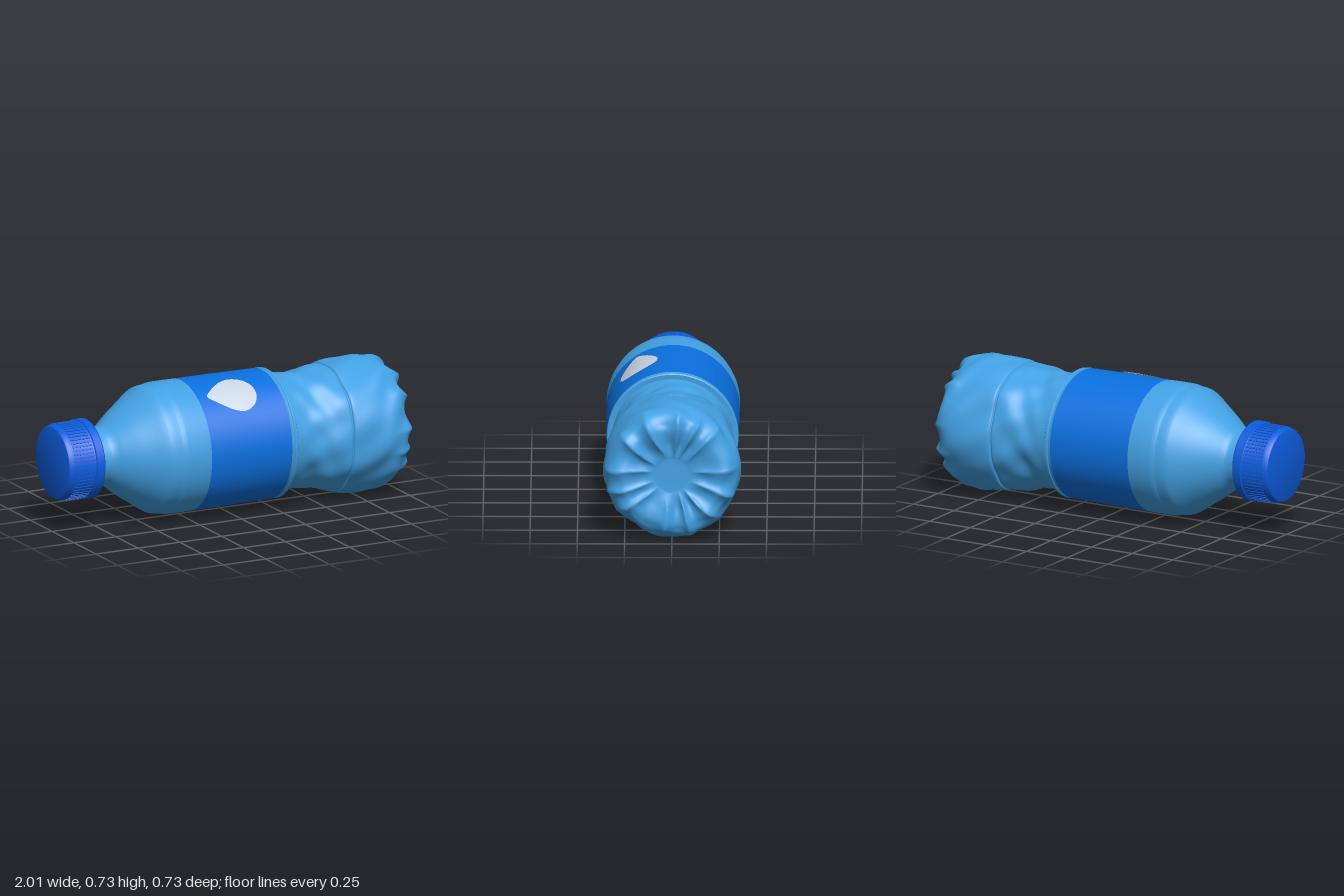
import * as THREE from 'three';
import { mergeGeometries, mergeVertices, toCreasedNormals } from 'three/addons/utils/BufferGeometryUtils.js';

const AXIS_Y = 0.383; // height of the bottle's axis, which lies along x

const mat = (name, color) => {
  const m = new THREE.MeshStandardMaterial({ color });
  m.name = name;
  return m;
};

// Surface of revolution about x from [x, radius] pairs running towards +x
function turned(profile, segments = 96, crease = 0.6) {
  const g = new THREE.LatheGeometry(profile.map(([x, r]) => new THREE.Vector2(r, x)), segments);
  g.rotateZ(-Math.PI / 2);
  return crease ? toCreasedNormals(g, crease) : g;
}

// Smooth curve through [x, radius] pairs
const smooth = (pts, n) => new THREE.SplineCurve(pts.map(p => new THREE.Vector2(...p)))
  .getPoints(n).map(p => [p.x, Math.max(p.y, 0)]);

// Crumpled lower half: pinched grip, fluted foot and recessed base
function lowerBodyGeometry() {
  const wall = smooth([[0.286, 0.318], [0.34, 0.31], [0.42, 0.307], [0.48, 0.316], [0.55, 0.334],
    [0.61, 0.342], [0.625, 0.337], [0.64, 0.35], [0.72, 0.357], [0.85, 0.357], [0.92, 0.345],
    [0.965, 0.315], [0.986, 0.275], [0.985, 0.23], [0.97, 0.17], [0.955, 0.11], [0.95, 0.08], [0.95, 0]], 130);
  let g = turned(wall, 180, 0);
  g.deleteAttribute('uv');
  g.deleteAttribute('normal');
  g = mergeVertices(g, 1e-5);
  const p = g.attributes.position;
  const step = THREE.MathUtils.smoothstep;
  for (let i = 0; i < p.count; i++) {
    const x = p.getX(i), y = p.getY(i), z = p.getZ(i);
    const r = Math.hypot(y, z), a = Math.atan2(z, y);
    // Uneven folds radiating from the middle of the base
    const warp = a + 0.1 * Math.sin(3 * a + 1) + 0.07 * Math.sin(5 * a + 9 * r);
    const fold = 1 - 2 * Math.pow(Math.abs(Math.sin(6.5 * warp + 0.5 * Math.sin(a))), 0.8);
    const foot = step(x, 0.84, 0.96);
    const ring = step(r, 0.09, 0.19) * (1 - step(r, 0.29, 0.345));
    const dx = foot * ring * 0.016 * fold * (0.8 + 0.3 * Math.sin(2 * a + 1));
    // Broad dents along the side wall
    const side = step(x, 0.3, 0.42) * step(r, 0.15, 0.3);
    const dent = 0.004 * Math.sin(7 * a + 6 * Math.sin(7 * x))
      + 0.004 * Math.sin(4 * a - 13 * x) + 0.003 * Math.sin(11 * a + 17 * x);
    const dr = side * dent + step(r, 0.2, 0.3) * foot * 0.009 * fold;
    const k = r > 1e-4 ? (r + dr) / r : 1;
    p.setXYZ(i, x + dx, y * k - 0.014 * step(x, 0.35, 0.7), z * k);
  }
  g.computeVertexNormals();
  return g;
}

// Teardrop wrapped around the label, point towards the cap
function dropGeometry() {
  const g = new THREE.RingGeometry(0, 1, 64, 10);
  const p = g.attributes.position;
  for (let i = 0; i < p.count; i++) {
    const s = Math.hypot(p.getX(i), p.getY(i));
    const t = Math.atan2(p.getY(i), p.getX(i));
    const c = Math.cos(t);
    const taper = c < 0 ? 1 - 0.62 * Math.pow(-c, 1.6) : 1;
    const u = s * c * (c < 0 ? 0.175 : 0.11);
    const v = s * Math.sin(t) * 0.117 * taper;
    const angle = 0.56 - v / 0.352;
    const radius = 0.359 - 0.003 * s * s;
    p.setXYZ(i, u, radius * Math.cos(angle), radius * Math.sin(angle));
  }
  g.computeVertexNormals();
  return g;
}

export function createModel() {
  const plastic = mat('bottle blue', 0x43a1e4);
  const labelBlue = mat('label blue', 0x0b70e0);
  const capBlue = mat('cap blue', 0x0c5cdc);
  const pale = mat('pale grey', 0xc9d5e4);
  plastic.side = pale.side = THREE.DoubleSide;

  const bottle = new THREE.Group();
  bottle.name = 'bottle';
  bottle.position.y = AXIS_Y;
  const add = (name, geometry, material, parent = bottle) => {
    const mesh = new THREE.Mesh(geometry, material);
    mesh.name = name;
    parent.add(mesh);
  };

  // Neck and sloping shoulder
  add('shoulder', turned(smooth([[-0.8, 0.152], [-0.73, 0.154], [-0.7, 0.164], [-0.66, 0.195],
    [-0.6, 0.24], [-0.53, 0.287], [-0.47, 0.328], [-0.44, 0.341], [-0.39, 0.347], [-0.37, 0.352],
    [-0.3, 0.353], [-0.23, 0.352]], 60)), plastic);

  // Label with its teardrop emblem
  add('label', turned([[-0.23, 0.352], [0, 0.351], [0.25, 0.348]]), labelBlue);
  add('drop', dropGeometry(), pale);

  // Lip below the label, then the crumpled lower half
  add('lip', turned([[0.25, 0.348], [0.258, 0.344], [0.268, 0.344], [0.272, 0.349],
    [0.284, 0.348], [0.288, 0.343], [0.286, 0.316]]), plastic);
  add('lowerBody', lowerBodyGeometry(), plastic);

  // Screw cap with flange, grip ribs and inner collar
  const cap = new THREE.Group();
  cap.name = 'cap';
  bottle.add(cap);
  add('capShell', turned([[-1, 0], [-1, 0.183], [-0.996, 0.193], [-0.985, 0.2], [-0.96, 0.203],
    [-0.85, 0.204], [-0.842, 0.206], [-0.838, 0.214], [-0.797, 0.214], [-0.79, 0.208],
    [-0.79, 0.186], [-0.825, 0.18], [-0.825, 0.15]]), capBlue, cap);
  const ribs = [];
  for (let i = 0; i < 60; i++) {
    const rib = new THREE.BoxGeometry(0.115, 0.012, 0.009);
    rib.translate(-0.905, 0.201, 0);
    rib.rotateX(i / 60 * Math.PI * 2);
    ribs.push(rib);
  }
  add('gripRibs', mergeGeometries(ribs), capBlue, cap);
  add('collar', turned([[-0.825, 0.165], [-0.775, 0.163], [-0.768, 0.152]]), capBlue, cap);

  const model = new THREE.Group();
  model.name = 'lyingBottle';
  model.add(bottle);
  return model;
}
